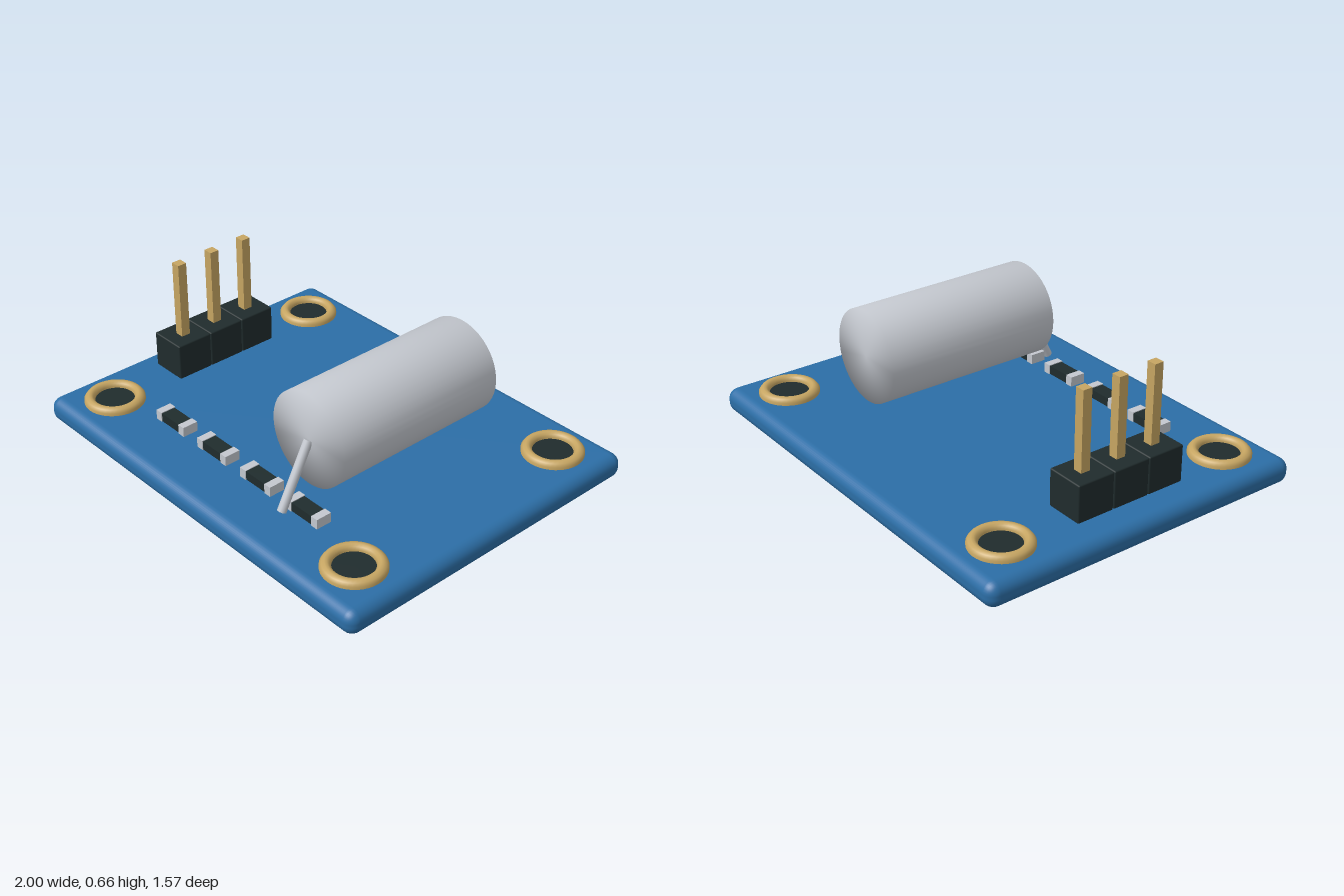
import * as THREE from 'three';
import { mergeVertices } from 'three/addons/utils/BufferGeometryUtils.js';
import { RoundedBoxGeometry } from 'three/addons/geometries/RoundedBoxGeometry.js';

const mat = (name, color) => Object.assign(new THREE.MeshStandardMaterial({ color }), { name });

export function createModel() {
  const blue = mat('board blue', 0x2c6ea6);
  const gold = mat('contact gold', 0xc6a562);
  const dark = mat('dark plastic', 0x202c2d);
  const silver = mat('silver metal', 0xc4c8cf);
  const model = new THREE.Group();
  model.name = 'sensorBoard';

  const add = (parent, name, geometry, material, x, y, z) => {
    const mesh = new THREE.Mesh(geometry, material);
    mesh.name = name;
    mesh.position.set(x, y, z);
    parent.add(mesh);
    return mesh;
  };
  const group = (name) => {
    const g = new THREE.Group();
    g.name = name;
    model.add(g);
    return g;
  };
  // cylinder whose shading runs softly over the rim
  const softCylinder = (radius, length, sides) => {
    let g = new THREE.CylinderGeometry(radius, radius, length, sides);
    g.deleteAttribute('normal');
    g.deleteAttribute('uv');
    g = mergeVertices(g);
    g.computeVertexNormals();
    return g;
  };

  // circuit board
  add(model, 'board', new RoundedBoxGeometry(2, 0.115, 1.57, 4, 0.05), blue, 0, 0.0575, 0);

  // plated mounting holes in the corners
  const ringProfile = [
    [0.088, 0.105], [0.088, 0.127], [0.094, 0.139], [0.104, 0.146], [0.115, 0.146],
    [0.127, 0.14], [0.136, 0.128], [0.136, 0.105],
  ].map(([r, y]) => new THREE.Vector2(r, y)).reverse();
  const ringGeometry = new THREE.LatheGeometry(ringProfile.reverse(), 40);
  gold.side = THREE.DoubleSide;
  const holeGeometry = new THREE.CylinderGeometry(0.09, 0.09, 0.02, 40);
  const holes = group('mountingHoles');
  for (const x of [-0.785, 0.785]) {
    for (const z of [-0.573, 0.573]) {
      add(holes, 'holeRing', ringGeometry, gold, x, 0, z);
      add(holes, 'holeCentre', holeGeometry, dark, x, 0.11, z);
    }
  }

  // three pin header
  const header = group('pinHeader');
  for (const z of [-0.181, 0, 0.181]) {
    add(header, 'headerBlock', new RoundedBoxGeometry(0.178, 0.17, 0.178, 1, 0.006), dark, -0.787, 0.217, z);
    add(header, 'pin', new THREE.BoxGeometry(0.044, 0.46, 0.044), gold, -0.785, 0.433, z);
  }

  // row of chip resistors
  const chips = group('chipResistors');
  for (const x of [-0.432, -0.145, 0.142, 0.429]) {
    add(chips, 'chipBody', new THREE.BoxGeometry(0.13, 0.041, 0.068), dark, x, 0.145, 0.495);
    for (const side of [-1, 1]) {
      add(chips, 'chipEnd', new THREE.BoxGeometry(0.036, 0.046, 0.075), silver, x + side * 0.078, 0.146, 0.495);
    }
  }

  // horizontal metal can with its bent lead
  const can = add(model, 'sensorCan', softCylinder(0.213, 0.855, 48), silver, 0.355, 0.418, -0.002);
  can.rotation.x = Math.PI / 2;
  const top = new THREE.Vector3(0.355, 0.416, 0.424);
  const foot = new THREE.Vector3(0.355, 0.135, 0.57);
  const mid = top.clone().add(foot).multiplyScalar(0.5);
  const lead = add(model, 'sensorLead', new THREE.CylinderGeometry(0.02, 0.02, top.distanceTo(foot), 16),
    silver, mid.x, mid.y, mid.z);
  lead.quaternion.setFromUnitVectors(new THREE.Vector3(0, 1, 0), top.clone().sub(foot).normalize());

  return model;
}
